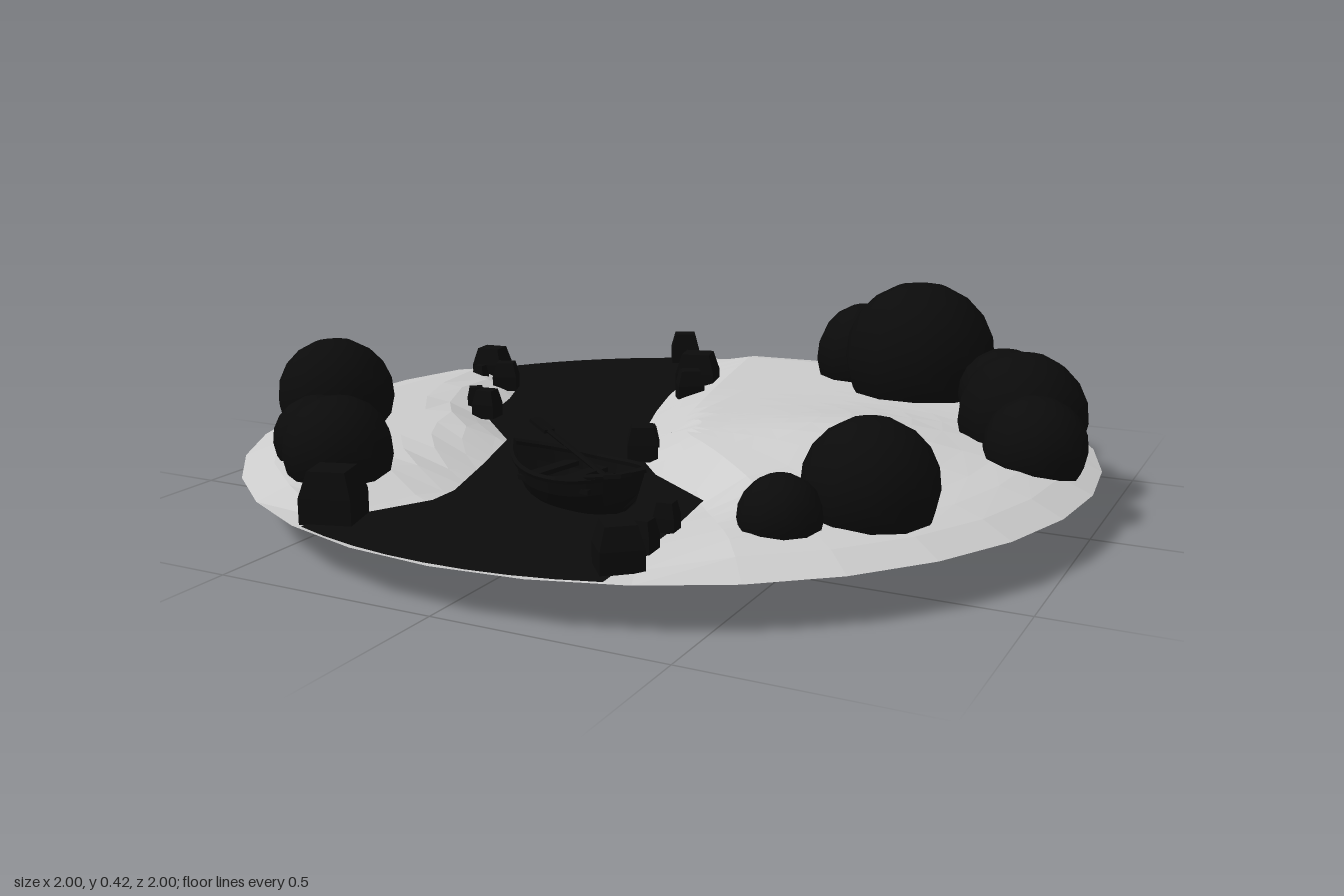
import * as THREE from 'three';

const grey = new THREE.MeshStandardMaterial({ color: 0xcccccc, flatShading: true, side: THREE.DoubleSide });
const dark = new THREE.MeshStandardMaterial({ color: 0x0b0b0b, flatShading: true, side: THREE.DoubleSide });
const darkSmooth = new THREE.MeshStandardMaterial({ color: 0x0b0b0b, side: THREE.DoubleSide });
const GROUND = 0.1;

// River banks as [z, x], running from back to front
const leftBank = [[-1, -1.2], [-0.56, -0.82], [-0.32, -0.64], [-0.2, -0.59], [0, -0.53], [0.17, -0.36], [0.38, -0.29], [0.58, -0.23], [0.66, -0.23], [0.9, -0.36], [1, -0.4]];
const rightBank = [[-1, -0.42], [-0.9, -0.37], [-0.68, -0.28], [-0.42, -0.22], [-0.25, -0.17], [-0.05, -0.1], [0.14, -0.02], [0.28, 0.1], [0.41, 0.28], [0.62, 0.31], [0.91, 0.33], [1, 0.34]];
const bedDepth = [[-1, 0.01], [-0.8, 0.02], [-0.3, 0.1], [0.15, 0.06], [0.4, 0.05], [0.72, 0.025], [1, 0.01]];

// Piecewise linear lookup
function lookup(table, t) {
  let i = 1;
  while (i < table.length - 1 && table[i][0] < t) i++;
  const [a, b] = [table[i - 1], table[i]];
  return a[1] + (b[1] - a[1]) * (t - a[0]) / (b[0] - a[0]);
}

function terrainHeight(x, z) {
  const rim = Math.max(0, Math.min(1, (1 - Math.hypot(x, z)) / 0.1));
  const d = Math.max(lookup(leftBank, z) - x, x - lookup(rightBank, z)) - 0.02;
  if (d < 0) return GROUND - lookup(bedDepth, z) * Math.min(1, -d / 0.2) * rim;
  const hill = 0.055 * Math.exp(-((x - 0.45) ** 2 + z ** 2) / 0.09);
  return GROUND + (0.038 + hill) * Math.min(1, d / 0.12) * rim;
}

function add(parent, name, geometry, material) {
  const mesh = new THREE.Mesh(geometry, material);
  mesh.name = name;
  parent.add(mesh);
  return mesh;
}

// Round ground sheet with a carved river bed
function terrainGeometry() {
  const g = new THREE.RingGeometry(0.001, 1, 32, 14).rotateX(-Math.PI / 2);
  const p = g.attributes.position;
  for (let i = 0; i < p.count; i++) p.setY(i, terrainHeight(p.getX(i), p.getZ(i)));
  g.computeVertexNormals();
  return g;
}

// Flat water between the banks, closed by the rim
function waterGeometry() {
  const inside = ([z, x]) => Math.hypot(x, z) < 0.99;
  const arc = (from, to) => Array.from({ length: 9 }, (_, i) => {
    const a = from + (to - from) * i / 8;
    return [Math.sin(a) * 0.992, Math.cos(a) * 0.992];
  });
  const outline = [
    ...rightBank.filter(inside), ...arc(1.23, 1.94),
    ...leftBank.filter(inside).reverse(), ...arc(3.75, 4.32),
  ];
  const shape = new THREE.Shape(outline.map(([z, x]) => new THREE.Vector2(x, -z)));
  return new THREE.ShapeGeometry(shape).rotateX(-Math.PI / 2);
}

// Block with a narrowed top
function rockGeometry(w, h, d) {
  const g = new THREE.BoxGeometry(w, h, d, 1, 2, 1);
  const p = g.attributes.position;
  for (let i = 0; i < p.count; i++) {
    const s = p.getY(i) > 0.01 * h ? 0.72 : 1;
    p.setX(i, p.getX(i) * s);
    p.setZ(i, p.getZ(i) * s);
  }
  return g.translate(0, h / 2, 0);
}

// Open hull lofted from U-shaped sections, pointed and raised at both ends
function hullGeometry(length, width, height) {
  const across = 8, along = 12;
  const g = new THREE.PlaneGeometry(1, 1, along, across);
  const p = g.attributes.position;
  for (let i = 0; i < p.count; i++) {
    const t = p.getX(i) * 2, a = p.getY(i) * Math.PI;
    const beam = width / 2 * (1 - Math.abs(t) ** 2.4);
    const top = height * (0.75 + 0.25 * t * t);
    const keel = height * 0.35 * t ** 4;
    p.setXYZ(i, t * length / 2 * (0.85 + 0.15 * Math.cos(a) ** 0 * (1 - Math.cos(a))),
      top - (top - keel) * Math.cos(a), beam * Math.sin(a));
  }
  g.computeVertexNormals();
  return g;
}

function createBoat() {
  const boat = new THREE.Group();
  boat.name = 'rowingBoat';
  const L = 0.36, W = 0.19, H = 0.115;
  add(boat, 'hull', hullGeometry(L, W, H), dark);
  // Gunwales
  for (const side of [-1, 1]) {
    const pts = Array.from({ length: 9 }, (_, i) => {
      const t = i / 4 - 1;
      return new THREE.Vector3(t * L / 2, H * (0.75 + 0.25 * t * t), side * W / 2 * (1 - Math.abs(t) ** 2.4));
    });
    add(boat, 'gunwale', new THREE.TubeGeometry(new THREE.CatmullRomCurve3(pts), 16, 0.007, 5), dark);
  }
  // Seats
  for (const x of [-0.08, 0.0, 0.08]) {
    add(boat, 'seat', new THREE.BoxGeometry(0.03, 0.01, W * 0.82), dark).position.set(x, H * 0.6, 0);
  }
  // Oars resting across the sides
  for (const side of [-1, 1]) {
    const oar = new THREE.Group();
    oar.name = 'oar';
    add(oar, 'shaft', new THREE.CylinderGeometry(0.006, 0.006, 0.24, 6).rotateZ(Math.PI / 2), dark);
    add(oar, 'blade', new THREE.BoxGeometry(0.06, 0.008, 0.026), dark).position.x = -0.13;
    oar.position.set(side * 0.07, 0.095, side * 0.07);
    oar.rotation.set(0, side > 0 ? Math.PI - 0.25 : -0.25, -0.25);
    boat.add(oar);
  }
  boat.position.set(0.07, GROUND, 0.57);
  boat.rotation.y = -0.2;
  return boat;
}

export function createModel() {
  const model = new THREE.Group();
  model.name = 'riverScene';

  add(model, 'ground', terrainGeometry(), grey);
  add(model, 'river', waterGeometry(), dark).position.y = GROUND + 0.002;

  // Bushes: x, z, radius; spheres cut off open at ground level
  const bushes = [
    [0.22, -0.78, 0.143], [0.41, -0.645, 0.198], [0.665, -0.545, 0.115], [0.78, -0.41, 0.085],
    [0.785, -0.235, 0.15], [0.86, -0.055, 0.115], [0.655, 0.44, 0.14], [0.53, 0.595, 0.085],
    [-0.78, 0.285, 0.142], [-0.615, 0.555, 0.1], [-0.48, 0.65, 0.12],
  ];
  bushes.forEach(([x, z, r], i) => {
    const g = new THREE.SphereGeometry(r, 11, 7, 0, Math.PI * 2, 0, Math.acos(-0.65));
    const bush = add(model, 'bush', g, darkSmooth);
    bush.position.set(x, GROUND + 0.65 * r, z);
    bush.rotation.y = i * 0.7;
  });

  // Rocks along the banks: x, z, size, turn
  const rocks = [
    [-0.39, -0.87, 0.08, 0.5], [-0.225, -0.62, 0.045, 0.7], [-0.19, -0.54, 0.105, 0.25], [-0.16, -0.43, 0.07, 0.6],
    [-0.78, -0.41, 0.085, 0.1], [-0.765, -0.325, 0.035, 0], [-0.67, -0.31, 0.065, 0.4], [-0.605, -0.065, 0.045, 0.6],
    [-0.535, -0.01, 0.06, 0.1], [-0.01, 0.1, 0.045, 0.6], [0.01, 0.17, 0.07, 0.5], [0.3, 0.62, 0.045, 0.1],
    [0.315, 0.75, 0.05, 0], [0.32, 0.855, 0.085, 0.7], [-0.335, 0.85, 0.11, 0.3],
  ];
  rocks.forEach(([x, z, s, turn]) => {
    const rock = add(model, 'rock', rockGeometry(s, s * 0.7 + 0.03, s * 0.9), dark);
    rock.position.set(x, GROUND, z);
    rock.rotation.y = turn;
  });

  model.add(createBoat());
  return model;
}
